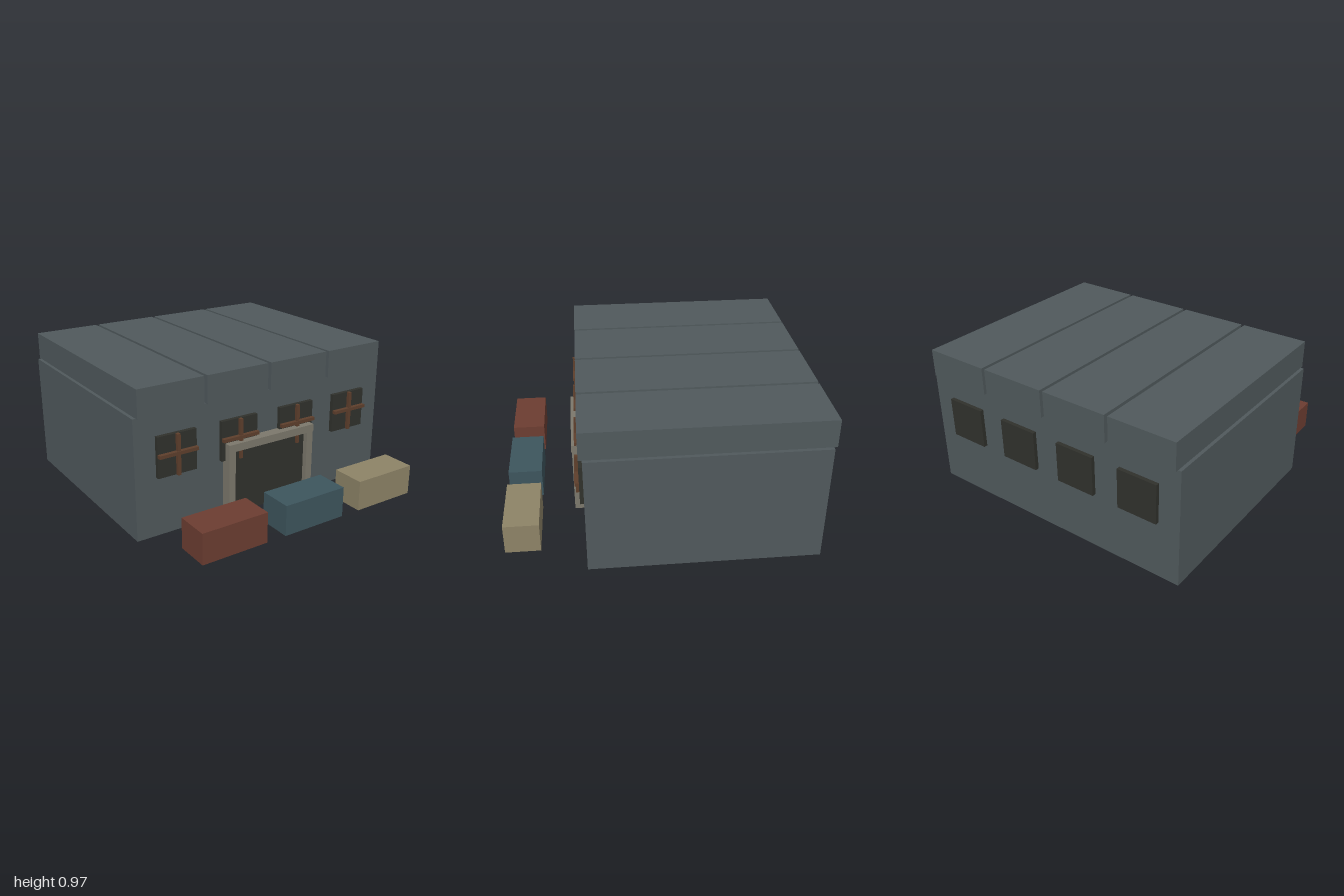
import * as THREE from 'three';

const mat = (color) => new THREE.MeshStandardMaterial({ color });

export function createModel() {
  const building = new THREE.Group();
  building.name = 'warehouse';

  const wall = mat(0x50595c);
  const glass = mat(0x30312c);
  const wood = mat(0x5e3f2c);
  const stone = mat(0x7c786c);

  // Box given by its limits on each axis
  function box(name, material, [x0, x1], [y0, y1], [z0, z1], parent = building) {
    const mesh = new THREE.Mesh(new THREE.BoxGeometry(x1 - x0, y1 - y0, z1 - z0), material);
    mesh.position.set((x0 + x1) / 2, (y0 + y1) / 2, (z0 + z1) / 2);
    mesh.name = name;
    parent.add(mesh);
    return mesh;
  }
  const around = (c, size) => [c - size / 2, c + size / 2];

  // Main hall
  box('hall', wall, [-0.957, 0.957], [0, 0.79], [-0.975, 0.49]);

  for (let i = 0; i < 4; i++) {
    const k = i - 1.5;

    // Roof slabs with narrow gaps between them
    box('roofSlab', wall, around(k * 0.473 - 0.001, 0.45), [0.79, 0.972], [-0.997, 0.513]);

    // Windows: plain at the back, with crossed bars at the front
    const x = k * 0.451 - 0.004;
    box('backWindow', glass, around(x, 0.27), [0.39, 0.656], [-1, -0.97]);
    const front = new THREE.Group();
    front.name = 'frontWindow';
    box('pane', glass, around(x, 0.27), [0.39, 0.656], [0.485, 0.517], front);
    box('verticalBar', wood, around(x, 0.022), [0.39, 0.656], [0.515, 0.54], front);
    box('horizontalBar', wood, around(x, 0.27), [0.524, 0.546], [0.517, 0.544], front);
    building.add(front);
  }

  // Doorway: panel, two posts and a lintel
  box('doorPanel', glass, [-0.288, 0.283], [0.008, 0.457], [0.485, 0.525]);
  for (const side of [-1, 1]) {
    box('doorPost', stone, around(side * 0.31 - 0.003, 0.048), [0, 0.457], [0.485, 0.561]);
  }
  box('doorLintel', stone, [-0.338, 0.332], [0.457, 0.508], [0.485, 0.565]);

  // Crates in front of the hall
  [0x6c3d31, 0x3d555d, 0x8d8367].forEach((color, i) => {
    box('crate', mat(color), around((i - 1) * 0.587 - 0.002, 0.45), [0.05, 0.25], [0.776, 1]);
  });

  return building;
}
